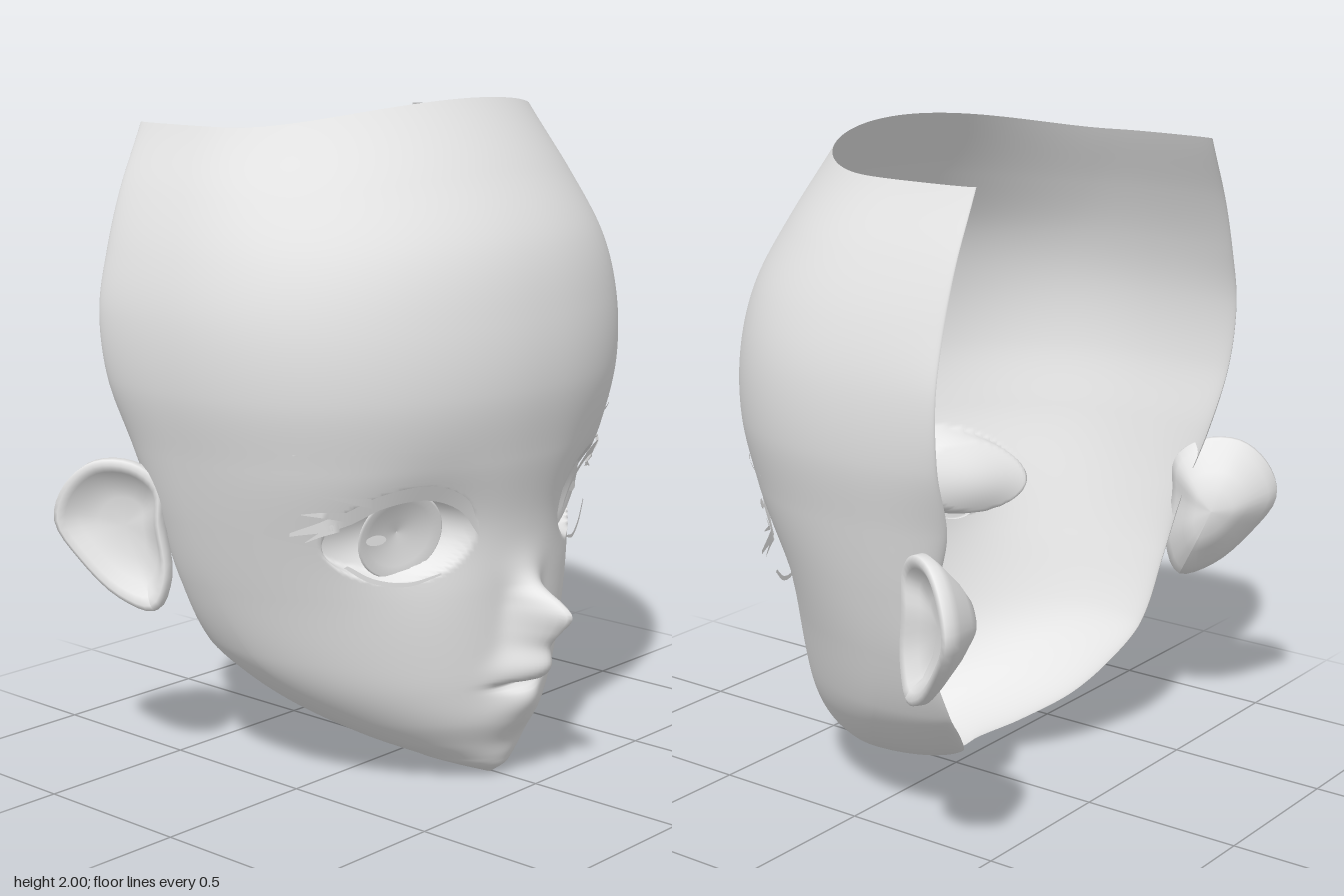
import * as THREE from 'three';
import { RoundedBoxGeometry } from 'three/addons/geometries/RoundedBoxGeometry.js';

const grey = new THREE.MeshStandardMaterial({ color: 0xe7e7e7, side: THREE.DoubleSide });
grey.name = 'plain grey';

// Head slices: height, front z, half width, z of widest point, rear edge x, rear edge z
const SLICES = [
  [0, .33, .01, .33, 0, .32], [.03, .37, .09, .26, 0, .15], [.055, .383, .148, .21, 0, -.015],
  [.06, .385, .155, .2, .015, -.025], [.075, .39, .185, .17, .06, -.04], [.12, .40, .27, .11, .155, -.125],
  [.2, .43, .385, .02, .28, -.24], [.3, .44, .49, -.06, .40, -.315], [.4, .445, .56, -.13, .50, -.355],
  [.6, .45, .64, -.2, .6, -.37], [.8, .46, .70, -.22, .64, -.41], [1, .505, .75, -.22, .67, -.475],
  [1.2, .54, .795, -.22, .745, -.5], [1.4, .53, .80, -.22, .765, -.51], [1.6, .48, .765, -.23, .73, -.51],
  [1.8, .365, .70, -.25, .675, -.51], [2, .23, .61, -.28, .59, -.51],
];
// Nose and lips: height, forward bulge, sideways spread
const NOSE = [
  [0, 0, .1], [.1, 0, .1], [.19, .02, .1], [.25, .04, .09], [.285, .03, .085], [.308, -.01, .085],
  [.325, .06, .085], [.365, .10, .08], [.43, .10, .06], [.48, .14, .052], [.535, .18, .047],
  [.57, .135, .047], [.61, .05, .055], [.68, .01, .08], [.8, 0, .1], [2, 0, .1],
];

// Smooth lookup of one column of a table at height y
function sample(table, y, col) {
  let i = 0;
  while (i < table.length - 2 && y > table[i + 1][0]) i++;
  const slope = (k) => {
    const a = table[Math.max(k - 1, 0)], b = table[Math.min(k + 1, table.length - 1)];
    return (b[col] - a[col]) / (b[0] - a[0]);
  };
  const a = table[i], b = table[i + 1], h = b[0] - a[0], t = (y - a[0]) / h;
  const t2 = t * t, t3 = t2 * t;
  return a[col] * (2 * t3 - 3 * t2 + 1) + slope(i) * h * (t3 - 2 * t2 + t)
    + b[col] * (3 * t2 - 2 * t3) + slope(i + 1) * h * (t3 - t2);
}

const smooth = THREE.MathUtils.smoothstep;

// Depth of the front of the face, with a shallow dip round each eye
function faceZ(x, y) {
  const F = sample(SLICES, y, 1), W = sample(SLICES, y, 2), Z = sample(SLICES, y, 3);
  const s = Math.min(Math.abs(x) / W, 1);
  const power = .41 + .17 * (1 - smooth(y, .3, 1));
  const spread = sample(NOSE, y, 2);
  const dip = .042 * Math.exp(-(((Math.abs(x) - .36) / .16) ** 2) - ((y - .79) / .17) ** 2);
  return Z + (F - Z) * Math.pow(Math.max(0, 1 - s * s), power)
    + sample(NOSE, y, 1) * Math.exp(-((x / spread) ** 2)) - dip;
}

// How far an eye socket is pushed into the head
function socketDepth(x, y) {
  const r = ((Math.abs(x) - .385) / .19) ** 2 + ((y - .8) / .138) ** 2;
  return r < 1 ? .08 * smooth(1 - r, 0, .32) + .05 * (1 - r) : 0;
}

// Smooth mesh from a grid of points
function gridGeometry(rows, flip = false) {
  const n = rows[0].length, index = [];
  for (let j = 0; j < rows.length - 1; j++) for (let i = 0; i < n - 1; i++) {
    const a = j * n + i, b = a + 1, c = a + n, d = c + 1;
    if (flip) index.push(a, c, b, b, c, d);
    else index.push(a, b, c, b, d, c);
  }
  const g = new THREE.BufferGeometry();
  g.setAttribute('position', new THREE.Float32BufferAttribute(rows.flat(2), 3));
  g.setIndex(index);
  g.computeVertexNormals();
  return g;
}

function addMesh(parent, name, geometry) {
  const m = new THREE.Mesh(geometry, grey);
  m.name = name;
  parent.add(m);
  return m;
}

// Open shell of face, jaw and forehead
function faceGeometry() {
  const rows = [], FRONT = 84, BACK = 22, ROWS = 180;
  for (let j = 0; j <= ROWS; j++) {
    const y = 2 * Math.pow(j / ROWS, 1.3);
    const [F, W, Z, xb, zb] = [1, 2, 3, 4, 5].map((c) => sample(SLICES, y, c));
    const row = [];
    for (let i = -FRONT - BACK; i <= FRONT + BACK; i++) {
      const k = Math.abs(i), side = Math.sign(i);
      let x, z;
      if (k <= FRONT) {
        x = W * Math.sin((k / FRONT) * Math.PI / 2);
        z = faceZ(x, y) - socketDepth(x, y);
      } else {
        const a = ((k - FRONT) / BACK) * Math.PI / 2;
        x = xb + (W - xb) * Math.cos(a);
        z = Z + (zb - Z) * Math.sin(a);
      }
      // the top edge dips from the forehead to the temples
      const t = THREE.MathUtils.clamp((F - z) / .38, 0, 1);
      row.push([side * x, y - .07 * smooth(y, 1.3, 2) * (1 - (1 - t) ** 2), z]);
    }
    rows.push(row);
  }
  return gridGeometry(rows);
}

// Thin strip lying on the face between two edge lines of [x, y] points
function strip(upper, lower, lift = .012) {
  const rows = [lower, upper].map((pts) => new THREE.CatmullRomCurve3(
    pts.map(([x, y]) => new THREE.Vector3(x, y, 0))).getPoints(28)
    .map((p) => [p.x, p.y, Math.max(faceZ(p.x, p.y) + lift, .53 - .52 * p.x)]));
  return gridGeometry(rows);
}

// Ear: bowl made of scaled outlines, from its root round the rim to the hollow
function earGeometry() {
  const outline = new THREE.CatmullRomCurve3([
    [-.37, .515], [-.33, .62], [-.345, .78], [-.35, .9], [-.42, .96],
    [-.52, .96], [-.595, .89], [-.625, .78], [-.56, .66], [-.46, .55],
  ].map(([z, y]) => new THREE.Vector3(0, y, z)), true).getPoints(40);
  const layers = [[0, -.15], [.35, -.145], [.58, -.11], [.88, -.05], [1, -.02], [.99, .008],
    [.92, .016], [.82, .006], [.68, -.03], [.4, -.05], [0, -.05]];
  const rows = layers.map(([s, off]) => outline.map((p) => {
    const z = -.46 + (p.z + .46) * s, y = .76 + (p.y - .76) * s;
    return [.68 + (-.33 - z) * .62 + off * .85, y, z + off * .4];
  }));
  return gridGeometry(rows, true);
}

// Eye details, lashes, brow and ear of one side
function createSide() {
  const g = new THREE.Group();
  addMesh(g, 'ear', earGeometry());

  const iris = addMesh(g, 'iris', new THREE.LatheGeometry(
    [[.002, -.03], [.05, -.022], [.1, -.01], [.128, 0], [.134, -.006]].map(([r, h]) => new THREE.Vector2(r, h)), 40)
    .rotateX(Math.PI / 2));
  iris.position.set(.37, .79, .298);
  iris.rotation.set(.25, .34, 0);

  const glint = addMesh(g, 'eyeGlint', new THREE.CircleGeometry(.025, 16).scale(1.3, .6, 1));
  glint.position.set(.45, .79, .275);
  glint.rotation.y = .34;

  addMesh(g, 'upperLash', strip(
    [[.20, .82], [.25, .90], [.37, .955], [.5, .935], [.58, .875], [.69, .84]],
    [[.19, .78], [.26, .865], [.37, .91], [.48, .895], [.56, .84], [.69, .83]], .015));
  // pointed lashes at the outer corner
  for (const [x, y, dx, dy] of [[.52, .93, .1, .01], [.56, .89, .1, .0], [.57, .86, .08, -.05]]) {
    addMesh(g, 'lashTip', strip([[x, y], [x + dx / 2, y + dy / 2], [x + dx, y + dy]],
      [[x - .01, y - .03], [x + dx / 2, y + dy / 2 - .015], [x + dx, y + dy - .002]], .02));
  }
  addMesh(g, 'lowerLash', strip(
    [[.29, .682], [.38, .664], [.47, .684], [.54, .73]],
    [[.29, .676], [.38, .652], [.48, .674], [.55, .725]], .01));
  addMesh(g, 'eyelidCrease', strip(
    [[.27, .945], [.37, .972], [.48, .962]], [[.27, .94], [.37, .966], [.48, .957]], .006));
  addMesh(g, 'brow', strip(
    [[.165, 1.025], [.3, 1.062], [.49, 1.07]], [[.165, 1.018], [.3, 1.05], [.49, 1.064]], .008));
  addMesh(g, 'browEnd', strip(
    [[.55, 1.07], [.62, 1.066], [.68, 1.06]], [[.55, 1.063], [.62, 1.06], [.68, 1.056]], .008));
  return g;
}

export function createModel() {
  const model = new THREE.Group();
  model.name = 'head';
  addMesh(model, 'face', faceGeometry());

  // Hollow of the mouth, seen from behind the face
  addMesh(model, 'mouthPocket', new RoundedBoxGeometry(.42, .27, .25, 6, .115)).position.set(0, .34, .225);

  for (const s of [1, -1]) {
    const side = createSide();
    side.name = s > 0 ? 'leftSide' : 'rightSide';
    side.scale.x = s;
    model.add(side);
  }
  return model;
}
